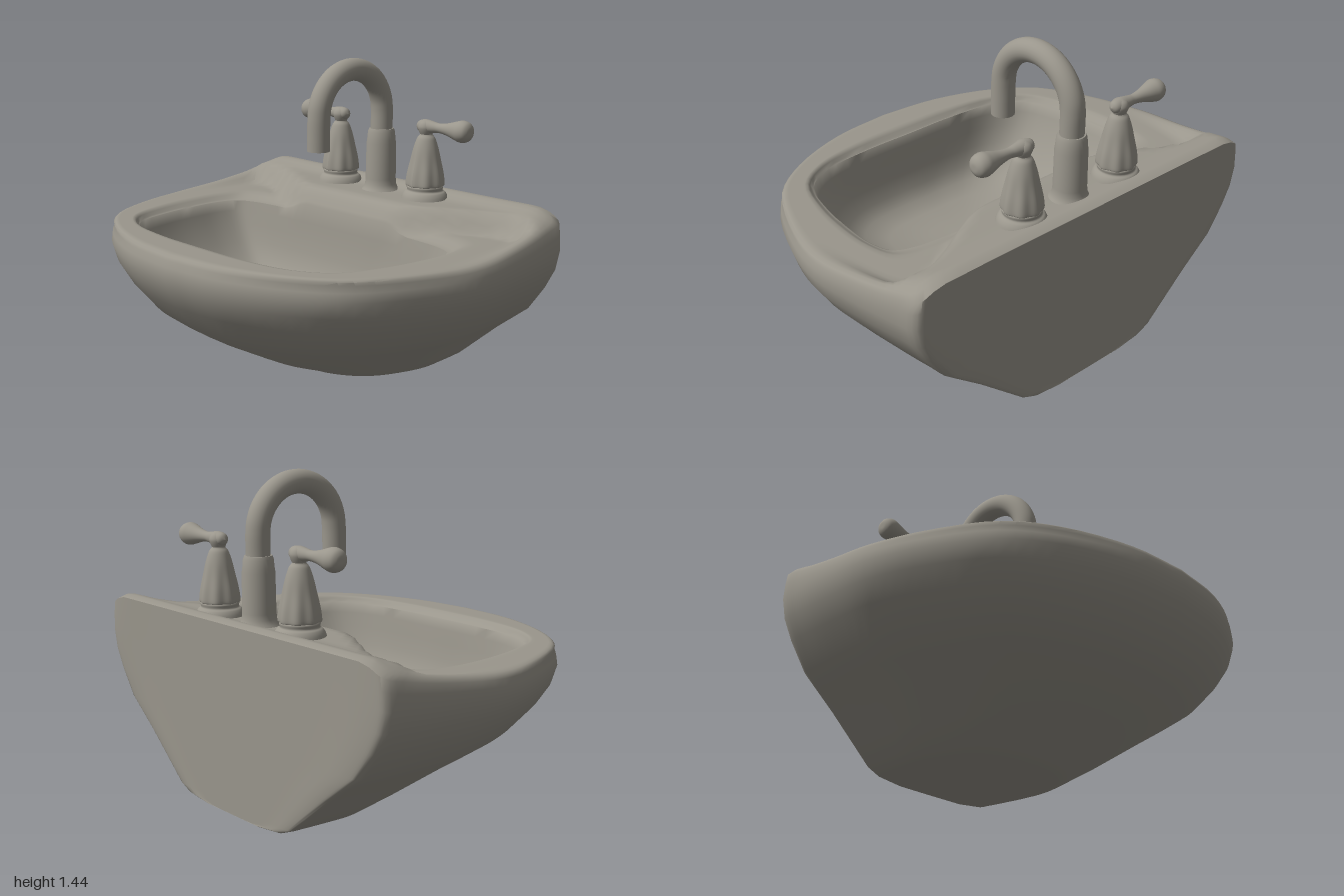
import * as THREE from 'three';
import { toCreasedNormals } from 'three/addons/utils/BufferGeometryUtils.js';

const { smoothstep, lerp, clamp } = THREE.MathUtils;
const BACK = -0.727, HALF = 48;

// Right half of a plan outline from back centre to front centre, mirrored to a closed loop
function outline(points) {
  const curve = new THREE.CatmullRomCurve3(points.map(([x, z]) => new THREE.Vector3(x, 0, z)));
  const half = [];
  for (let i = 0; i <= HALF; i++) half.push(curve.getPoint(i / HALF));
  const mirrored = half.slice(1, -1).reverse().map((p) => new THREE.Vector3(-p.x, 0, p.z));
  return [...half, ...mirrored];
}

const outer = outline([[0, BACK], [0.3, BACK], [0.6, BACK], [0.88, BACK], [0.94, -0.71], [0.96, -0.6],
  [0.985, -0.38], [1, -0.13], [0.95, 0.1], [0.8, 0.41], [0.6, 0.57], [0.3, 0.69], [0, 0.725]]);
const bowl = outline([[0, -0.32], [0.15, -0.32], [0.3, -0.32], [0.5, -0.305], [0.6, -0.29], [0.69, -0.25],
  [0.725, -0.15], [0.725, 0], [0.7, 0.2], [0.64, 0.38], [0.5, 0.47], [0.25, 0.5], [0, 0.5]]);

// The rim rises toward the wall and sinks a little at the outer corners
const lift = (x, z) => 0.147 * Math.pow(clamp(-z / 0.73, 0, 1), 1.6)
  * (1 - 0.4 * smoothstep(Math.abs(x), 0.82, 0.98));

// Raised tap ledge, tapering back toward the corners, above a lower shelf
function deckHeight(x, z) {
  const edge = -0.33 - 0.22 * smoothstep(Math.abs(x), 0.25, 0.8);
  return 0.712 + 0.095 * (1 - smoothstep(z, edge - 0.04, edge + 0.05));
}

function basinGeometry() {
  const rings = [];
  // Underside and outer wall: half width, front z, height, share of rim lift
  const shell = [[0, BACK, 0.004, 0], [0.22, -0.2, 0.005, 0], [0.35, -0.085, 0.018, 0], [0.42, -0.03, 0.045, 0],
    [0.515, 0.16, 0.12, 0], [0.66, 0.38, 0.235, 0], [0.75, 0.49, 0.3, 0], [0.84, 0.58, 0.365, 0],
    [0.93, 0.665, 0.47, 0.1], [0.98, 0.71, 0.55, 0.2], [1, 0.728, 0.62, 0.4], [0.995, 0.723, 0.66, 0.75],
    [0.987, 0.713, 0.687, 0.95]];
  for (const [w, front, y, share] of shell) {
    rings.push(outer.map((p) => {
      const x = p.x * w, z = lerp(BACK, front, (p.z - BACK) / (0.725 - BACK));
      return [x, y + share * lift(x, z), z];
    }));
  }
  // Rim, deck and lip of the bowl
  for (const s of [0.08, 0.14, 0.2, 0.27, 0.34, 0.42, 0.5, 0.58, 0.66, 0.74, 0.82, 0.88, 0.94, 0.98, 1]) {
    const drop = 0.016 * (1 - smoothstep(s, 0, 0.2)) + 0.03 * smoothstep(s, 0.8, 1);
    rings.push(outer.map((p, i) => {
      const x = lerp(p.x, bowl[i].x, s), z = lerp(p.z, bowl[i].z, s);
      return [x, lerp(0.712 + lift(x, z), deckHeight(x, z), smoothstep(s, 0.1, 0.42)) - drop, z];
    }));
  }
  // Bowl interior with wide sloping sides: x scale, z scale, height
  const inside = [[0.975, 0.98, 0.635], [0.93, 0.96, 0.57], [0.86, 0.93, 0.49], [0.77, 0.88, 0.415],
    [0.66, 0.79, 0.357], [0.5, 0.6, 0.323], [0.25, 0.3, 0.308], [0, 0, 0.305]];
  for (const [kx, kz, y] of inside) {
    rings.push(bowl.map((p) => [p.x * kx, y, 0.09 + (p.z - 0.09) * kz]));
  }
  const n = outer.length, index = [];
  for (let r = 0; r < rings.length - 1; r++) {
    for (let i = 0; i < n; i++) {
      const a = r * n + i, b = r * n + (i + 1) % n;
      index.push(a, a + n, b, b, a + n, b + n);
    }
  }
  const geometry = new THREE.BufferGeometry();
  geometry.setAttribute('position', new THREE.Float32BufferAttribute(rings.flat(2), 3));
  geometry.setIndex(index);
  return toCreasedNormals(geometry, 1.1);
}

// Smooth turned part from a bottom-to-top profile of [radius, height]
function turned(profile, segments = 32) {
  const curve = new THREE.SplineCurve(profile.map(([r, y]) => new THREE.Vector2(r, y)));
  const points = curve.getPoints(profile.length * 4);
  points.forEach((p) => { p.x = Math.max(p.x, 0); });
  return new THREE.LatheGeometry(points, segments);
}

// Bell-shaped valve body with shallow flutes near its hem
function bellGeometry() {
  const geometry = turned([[0.08, 0.865], [0.087, 0.872], [0.082, 0.92], [0.07, 0.98], [0.057, 1.04],
    [0.042, 1.085], [0.028, 1.105], [0.026, 1.13]], 64);
  const pos = geometry.attributes.position;
  for (let i = 0; i < pos.count; i++) {
    const x = pos.getX(i), y = pos.getY(i), z = pos.getZ(i);
    const k = 1 + 0.04 * Math.cos(8 * Math.atan2(z, x)) * (1 - smoothstep(y, 0.9, 1.08));
    pos.setXYZ(i, x * k, y, z * k);
  }
  geometry.computeVertexNormals();
  return geometry;
}

export function createModel() {
  const model = new THREE.Group();
  model.name = 'washbasin';
  const ceramic = new THREE.MeshStandardMaterial({ color: 0x9a968c });
  ceramic.name = 'warm grey';

  function add(parent, name, geometry) {
    const mesh = new THREE.Mesh(geometry, ceramic);
    mesh.name = name;
    parent.add(mesh);
    return mesh;
  }

  add(model, 'basin', basinGeometry());

  // Gooseneck spout on a collar
  const spout = new THREE.Group();
  spout.name = 'spout';
  model.add(spout);
  const collar = [[0.1, 0.795], [0.082, 0.815], [0.074, 0.835], [0.072, 0.86], [0.07, 1.03], [0.067, 1.05],
    [0.064, 1.085], [0.058, 1.1], [0.04, 1.1]].map(([r, y]) => new THREE.Vector2(r, y));
  add(spout, 'spoutCollar', toCreasedNormals(new THREE.LatheGeometry(collar, 32), 0.6))
    .position.z = -0.565;
  const path = [new THREE.Vector3(0, 1.02, -0.565), new THREE.Vector3(0, 1.1, -0.565)];
  for (let i = 0; i <= 12; i++) {
    const a = Math.PI * (1 - i / 12);
    path.push(new THREE.Vector3(0, 1.19 + 0.202 * Math.sin(a), -0.36 + 0.205 * Math.cos(a)));
  }
  path.push(new THREE.Vector3(0, 1.1, -0.153), new THREE.Vector3(0, 1.038, -0.153));
  add(spout, 'spoutPipe', new THREE.TubeGeometry(new THREE.CatmullRomCurve3(path), 72, 0.052, 24));
  const outlet = add(spout, 'spoutOutlet', new THREE.CircleGeometry(0.052, 24));
  outlet.rotation.x = Math.PI / 2;
  outlet.position.set(0, 1.039, -0.153);

  // Pair of valves with outward-pointing levers
  const bell = bellGeometry();
  const flange = turned([[0.112, 0.795], [0.104, 0.82], [0.094, 0.836], [0.082, 0.846], [0.078, 0.868], [0, 0.87]]);
  const cap = turned([[0.026, 1.1], [0.036, 1.122], [0.039, 1.14], [0.031, 1.158], [0.014, 1.169], [0, 1.171]]);
  const lever = turned([[0, -0.052], [0.024, -0.038], [0.032, 0], [0.026, 0.045], [0.022, 0.08], [0.029, 0.13],
    [0.043, 0.18], [0.05, 0.213], [0.042, 0.242], [0.022, 0.256], [0, 0.258]]);
  for (const side of [1, -1]) {
    const valve = new THREE.Group();
    valve.name = side > 0 ? 'leftValve' : 'rightValve';
    valve.position.set(side * 0.277, 0, -0.57);
    add(valve, 'valveFlange', flange);
    add(valve, 'valveBell', bell);
    add(valve, 'valveCap', cap);
    const arm = add(valve, 'valveLever', lever);
    arm.rotation.z = -side * Math.PI / 2;
    arm.position.y = 1.14;
    model.add(valve);
  }
  return model;
}
